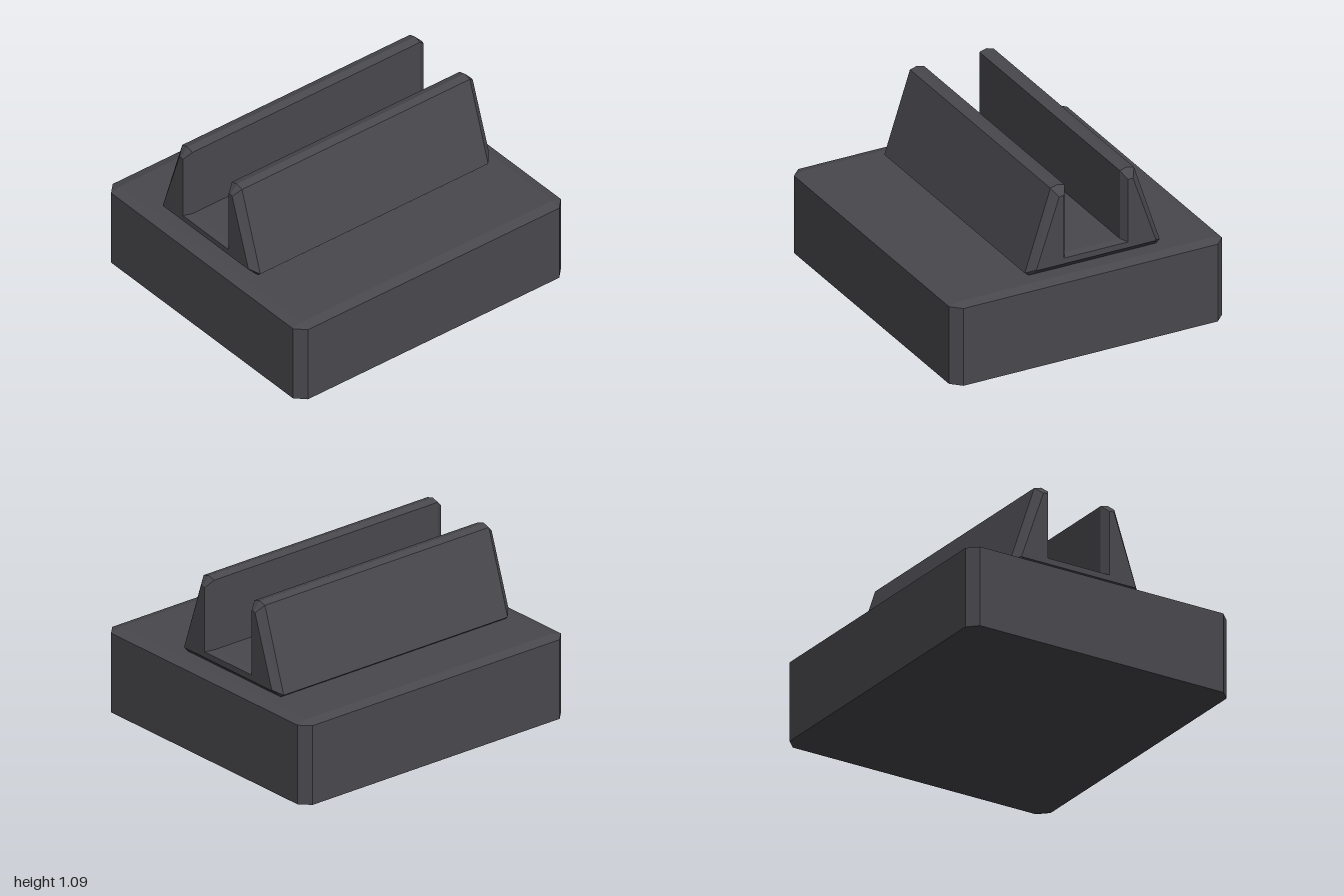
import * as THREE from 'three';
import { ConvexGeometry } from 'three/addons/geometries/ConvexGeometry.js';

// Box with chamfered edges: each corner becomes a small triangle
function chamferedBox(hx, hy, hz, cx, cy, cz) {
  const points = [];
  for (const x of [-1, 1]) for (const y of [-1, 1]) for (const z of [-1, 1]) {
    points.push(
      new THREE.Vector3(x * hx, y * (hy - cy), z * (hz - cz)),
      new THREE.Vector3(x * (hx - cx), y * hy, z * (hz - cz)),
      new THREE.Vector3(x * (hx - cx), y * (hy - cy), z * hz)
    );
  }
  return new ConvexGeometry(points);
}

// Completes a half outline by mirroring it, counter-clockwise seen from +z
function mirrored(half) {
  const left = half.map(([x, y]) => [-x, y]).reverse();
  return [...half, ...left].map(([x, y]) => new THREE.Vector2(x, y));
}

// Skins matching outlines placed along z and caps both ends
function loft(sections) {
  const positions = [];
  const put = (p, z) => positions.push(p.x, p.y, z);
  const n = sections[0].outline.length;
  for (let s = 0; s < sections.length - 1; s++) {
    const { outline: a, z: za } = sections[s];
    const { outline: b, z: zb } = sections[s + 1];
    for (let i = 0; i < n; i++) {
      const j = (i + 1) % n;
      put(a[i], za); put(a[j], za); put(b[j], zb);
      put(a[i], za); put(b[j], zb); put(b[i], zb);
    }
  }
  const back = sections[0], front = sections[sections.length - 1];
  for (const [i, j, k] of THREE.ShapeUtils.triangulateShape(front.outline, [])) {
    for (const v of [i, j, k]) put(front.outline[v], front.z);
    for (const v of [i, k, j]) put(back.outline[v], back.z);
  }
  const geometry = new THREE.BufferGeometry();
  geometry.setAttribute('position', new THREE.Float32BufferAttribute(positions, 3));
  geometry.computeVertexNormals();
  return geometry;
}

export function createModel() {
  const group = new THREE.Group();
  const darkGrey = new THREE.MeshStandardMaterial({ color: 0x49484d });
  darkGrey.name = 'dark grey';

  // Base block
  const base = new THREE.Mesh(chamferedBox(0.905, 0.271, 1, 0.062, 0.018, 0.062), darkGrey);
  base.name = 'baseBlock';
  base.position.y = 0.271;
  group.add(base);

  // Channel with two tapered rails, set off-centre, its ends chamfered inwards
  const body = mirrored([
    [0.42, 0.545], [0.447, 0.565], [0.277, 1.08], [0.23, 1.093], [0.183, 1.08], [0.183, 0.635]
  ]);
  const end = mirrored([
    [0.392, 0.59], [0.396, 0.595], [0.245, 1.035], [0.228, 1.04], [0.212, 1.035], [0.212, 0.627]
  ]);
  const channel = new THREE.Mesh(loft([
    { outline: end, z: -0.898 },
    { outline: body, z: -0.85 },
    { outline: body, z: 0.85 },
    { outline: end, z: 0.898 }
  ]), darkGrey);
  channel.name = 'railChannel';
  channel.position.x = -0.0925;
  group.add(channel);

  return group;
}
